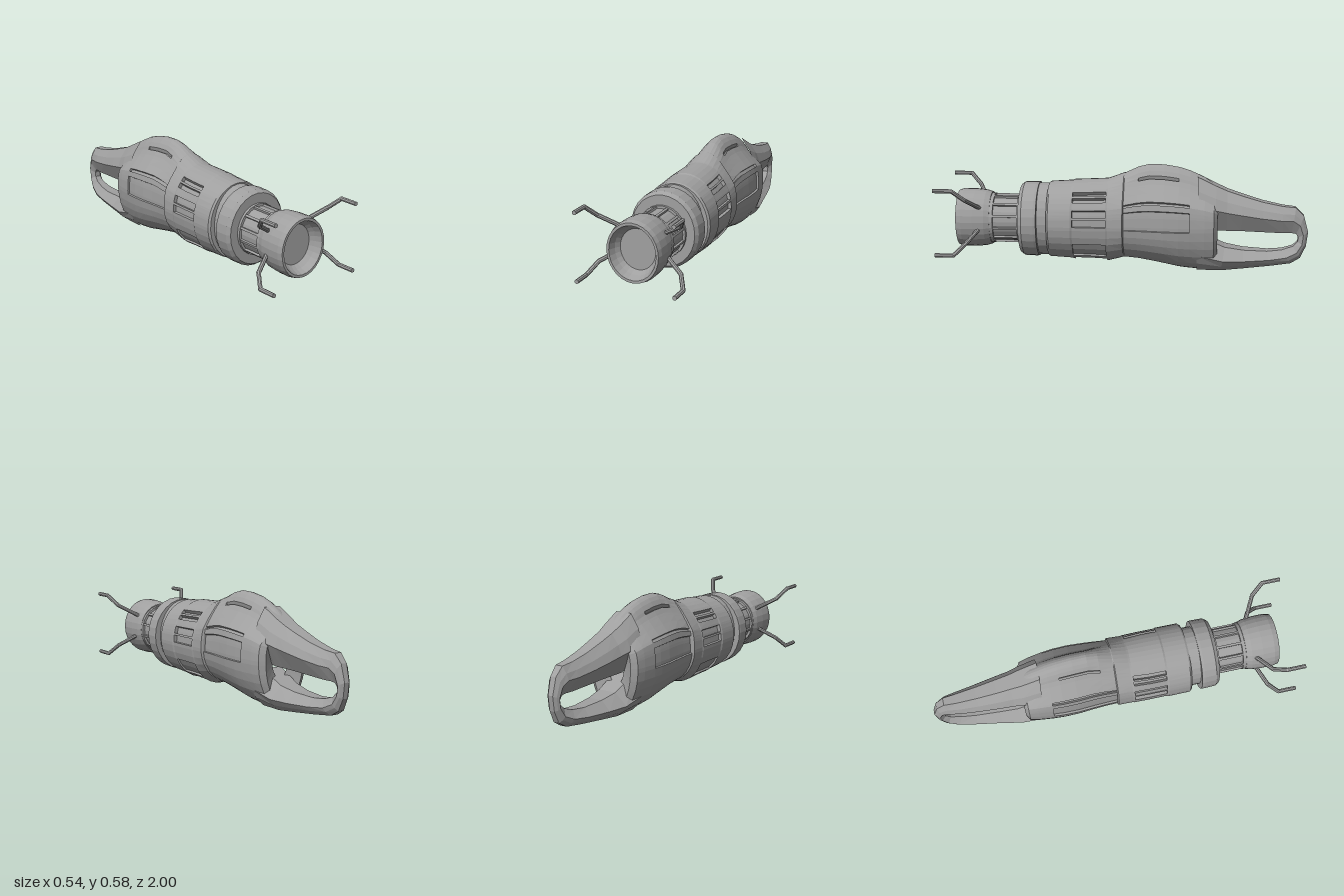
import * as THREE from 'three';

const CY = 0.26; // height of the long axis
const grey = new THREE.MeshStandardMaterial({ color: 0xa0a0a0, flatShading: true });
grey.name = 'grey metal';

// Mirrored skin over half rings (top, +x side, bottom); recess(i, j) gives an inset scale or 0
function shell(rings, recess = () => 0) {
  const pos = [];
  const tri = (...ps) => ps.forEach(p => pos.push(p.x, p.y, p.z));
  const quad = (a, b, c, d) => {
    tri(a, b, c, a, c, d);
    const [e, f, g, h] = [a, b, c, d].map(p => new THREE.Vector3(-p.x, p.y, p.z));
    tri(e, g, f, e, h, g);
  };
  const inset = (p, s) => new THREE.Vector3(p.x * s, CY + (p.y - CY) * s, p.z);
  for (let i = 0; i < rings.length - 1; i++) {
    for (let j = 0; j < rings[0].length - 1; j++) {
      const c = [rings[i][j], rings[i][j + 1], rings[i + 1][j + 1], rings[i + 1][j]];
      const s = recess(i, j);
      if (!s) { quad(...c); continue; }
      const f = c.map(p => inset(p, s));
      quad(...f);
      const next = [[i - 1, j], [i, j + 1], [i + 1, j], [i, j - 1]];
      next.forEach(([m, n], k) => {
        const l = (k + 1) % 4;
        const seam = n < 0 || n >= rings[0].length - 1;
        if (!seam && !recess(m, n)) quad(c[k], c[l], f[l], f[k]);
      });
    }
  }
  const g = new THREE.BufferGeometry();
  g.setAttribute('position', new THREE.Float32BufferAttribute(pos, 3));
  g.computeVertexNormals();
  return g;
}

function add(parent, name, geometry) {
  const m = new THREE.Mesh(geometry, grey);
  m.name = name;
  parent.add(m);
  return m;
}

// Oval turned part along z; profile is [radius, z] from back to front
function oval(parent, name, profile, sx, sy = 1) {
  const g = new THREE.LatheGeometry(profile.map(p => new THREE.Vector2(...p)), 28);
  g.rotateX(Math.PI / 2).scale(sx, sy, 1).translate(0, 0.265, 0);
  return add(parent, name, g);
}

function rod(parent, name, a, b, r) {
  const d = b.clone().sub(a);
  const m = add(parent, name, new THREE.CylinderGeometry(r, r, d.length(), 8));
  m.position.copy(a).addScaledVector(d, 0.5);
  m.quaternion.setFromUnitVectors(new THREE.Vector3(0, 1, 0), d.normalize());
}

function bodyGeometry() {
  // z, half width, top, bottom, hump sharpness
  const st = [
    [0.41, 0.1, 0.37, 0.16, 0], [0.41, 0.18, 0.47, 0.06, 0], [0.4, 0.19, 0.475, 0.057, 0],
    [0.28, 0.19, 0.483, 0.05, 0], [0.27, 0.185, 0.488, 0.045, 0], [0.18, 0.185, 0.492, 0.045, 0],
    [0.09, 0.183, 0.497, 0.04, 0.1], [0.08, 0.18, 0.5, 0.04, 0.15], [0, 0.18, 0.53, 0.062, 0.4],
    [-0.005, 0.168, 0.53, 0.062, 0.4], [-0.08, 0.17, 0.565, 0.055, 0.8], [-0.14, 0.173, 0.58, 0.045, 1],
    [-0.22, 0.178, 0.578, 0.03, 1], [-0.3, 0.177, 0.565, 0.013, 1], [-0.36, 0.172, 0.547, 0.006, 1],
    [-0.44, 0.162, 0.51, 0, 1], [-0.49, 0.152, 0.475, 0, 1], [-0.51, 0.12, 0.45, 0.02, 1],
    [-0.47, 0.05, 0.3, 0.15, 0],
  ];
  const deg = [0, 8, 16, 25, 34, 39, 46, 49, 56, 64, 67, 73, 77, 80, 90, 95, 106, 117, 130, 144, 152, 162, 171, 180];
  const rings = st.map(([z, hx, top, bot, peak]) => deg.map(a => {
    const t = a * Math.PI / 180, c = Math.cos(t);
    const pinch = 1 - 0.4 * peak * THREE.MathUtils.clamp((c - 0.4) / 0.35, 0, 1);
    const x = a % 180 ? hx * Math.sin(t) * pinch : 0;
    return new THREE.Vector3(x, CY + (c > 0 ? top - CY : CY - bot) * c, z);
  }));
  // z front, z back, angle from, angle to, inset scale
  const cuts = [
    [0.27, 0.09, 39, 46, 0.9], [0.27, 0.09, 49, 56, 0.9],     // upper vents
    [0.27, 0.09, 67, 77, 0.9], [0.27, 0.09, 80, 90, 0.9],     // side vents
    [0.27, 0.09, 117, 144, 0.95], [0.27, 0.09, 152, 180, 0.85], // underside panels
    [-0.005, -0.36, 73, 95, 0.93], [-0.005, -0.36, 64, 67, 0.93], // side window and groove
    [-0.08, -0.3, 34, 39, 0.92],                              // hump slit
  ];
  return shell(rings, (i, j) => {
    if (i < 0 || i >= st.length - 1) return 0;
    const hit = cuts.find(([z0, z1, a0, a1]) =>
      st[i][0] <= z0 && st[i + 1][0] >= z1 && deg[j] >= a0 && deg[j + 1] <= a1);
    return hit ? hit[4] : 0;
  });
}

function handleGeometry() {
  // outer z, outer y, inner z, inner y, half width
  const st = [
    [-0.4, 0.52, -0.42, 0.24, 0.12], [-0.5, 0.472, -0.5, 0.228, 0.115], [-0.56, 0.445, -0.56, 0.226, 0.102],
    [-0.64, 0.418, -0.64, 0.225, 0.094], [-0.75, 0.385, -0.75, 0.22, 0.08], [-0.86, 0.362, -0.86, 0.215, 0.065],
    [-0.93, 0.355, -0.91, 0.215, 0.052], [-0.975, 0.31, -0.935, 0.21, 0.042], [-1, 0.22, -0.947, 0.19, 0.036],
    [-0.99, 0.14, -0.945, 0.165, 0.036], [-0.96, 0.075, -0.92, 0.14, 0.042], [-0.91, 0.045, -0.86, 0.12, 0.055],
    [-0.8, 0.03, -0.78, 0.112, 0.07], [-0.65, 0.014, -0.65, 0.118, 0.092], [-0.53, 0.003, -0.55, 0.135, 0.115],
    [-0.4, 0.006, -0.4, 0.2, 0.13],
  ];
  const section = [[1, 0], [1, 0.4], [0.75, 0.8], [0.5, 1], [0, 0.45], [0, 0]];
  return shell(st.map(([oz, oy, iz, iy, w]) => section.map(([f, k]) =>
    new THREE.Vector3(w * k, iy + (oy - iy) * f, iz + (oz - iz) * f))));
}

export function createModel() {
  const model = new THREE.Group();
  model.name = 'handheld device';
  add(model, 'body', bodyGeometry());
  add(model, 'loopHandle', handleGeometry());

  // Front collar and the groove behind it
  oval(model, 'collarGroove', [[0.2, 0.4], [0.2, 0.48]], 0.78);
  oval(model, 'collar', [[0.1, 0.465], [0.205, 0.465], [0.207, 0.48], [0.205, 0.545], [0.19, 0.565], [0.1, 0.565]], 0.92);

  // Ribbed neck
  oval(model, 'neck', [[0.124, 0.55], [0.124, 0.75]], 0.94);
  oval(model, 'neckRearRing', [[0.12, 0.56], [0.138, 0.56], [0.138, 0.58], [0.12, 0.58]], 0.94);
  oval(model, 'neckFrontRing', [[0.12, 0.712], [0.138, 0.712], [0.138, 0.735], [0.12, 0.735]], 0.94);
  for (let i = 0; i < 12; i++) {
    const a = (i + 0.5) * Math.PI / 6;
    const bar = add(model, 'neckBar', new THREE.BoxGeometry(0.013, 0.018, 0.17));
    bar.position.set(0.118 * Math.sin(a), 0.265 + 0.126 * Math.cos(a), 0.645);
    bar.rotation.z = -a;
  }

  // Muzzle with a dished opening
  oval(model, 'muzzle', [[0.1, 0.73], [0.145, 0.73], [0.155, 0.76], [0.161, 0.82], [0.161, 0.885], [0.154, 0.913],
    [0.14, 0.913], [0.125, 0.875], [0.106, 0.85], [0, 0.85]], 0.9);

  // Four bent prongs
  for (const sx of [1, -1]) for (const sy of [1, -1]) {
    const prong = new THREE.Group();
    prong.name = (sy > 0 ? 'upper' : 'lower') + (sx > 0 ? 'Left' : 'Right') + 'Prong';
    const pts = [[0.11, 0.053, 0.78], [0.222, 0.12, 0.84], [0.26, 0.176, 0.9], [0.26, 0.176, 1]]
      .map(([x, y, z]) => new THREE.Vector3(sx * x, 0.287 + sy * y, z));
    for (let i = 0; i < 3; i++) {
      rod(prong, 'prongRod', pts[i], pts[i + 1], 0.0115);
      if (i) add(prong, 'prongJoint', new THREE.SphereGeometry(0.0115, 8, 6)).position.copy(pts[i]);
    }
    model.add(prong);
  }
  return model;
}
